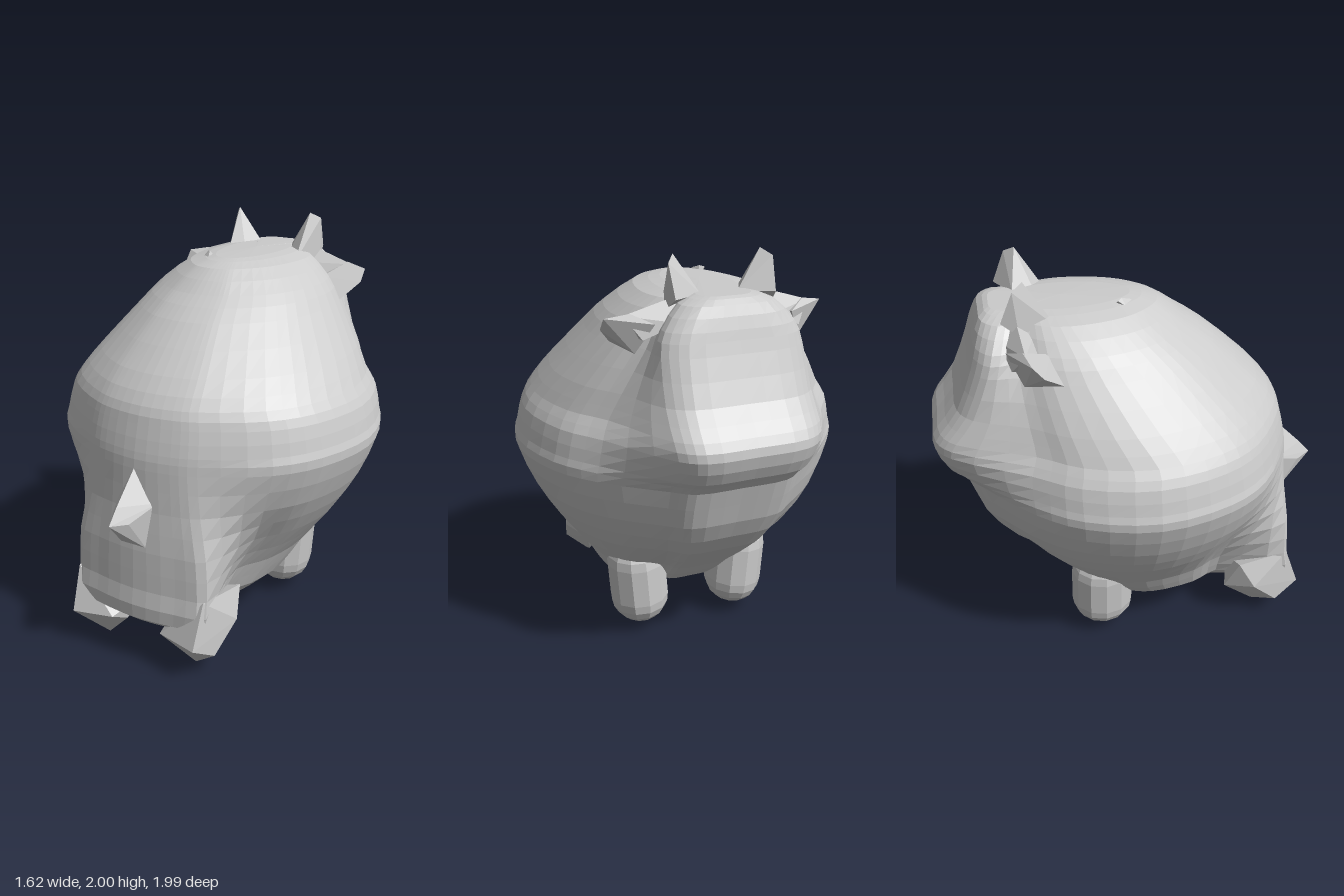
import * as THREE from 'three';
import { ConvexGeometry } from 'three/addons/geometries/ConvexGeometry.js';

const material = new THREE.MeshStandardMaterial({ color: 0xcccccc, flatShading: true });

function part(name, geometry) {
  const mesh = new THREE.Mesh(geometry, material);
  mesh.name = name;
  return mesh;
}

const hull = (name, points) =>
  part(name, new ConvexGeometry(points.map(p => new THREE.Vector3(...p))));

// The same faceted lump on both sides
function hullPair(group, name, points) {
  group.add(hull('left' + name, points));
  group.add(hull('right' + name, points.map(([x, y, z]) => [-x, y, z])));
}

// Each level: y, +z end, half width of the panel there, depth of the round body before it,
// half width of the body, z of its centre, depth behind it, half width of the muzzle, -z end
const LEVELS = [
  [1.83, 0.0, 0.06, 0.35, 0.15, -0.35, 0.25, 0.13, -0.67],
  [1.80, 0.13, 0.11, 0.45, 0.28, -0.32, 0.3, 0.22, -0.72],
  [1.70, 0.27, 0.16, 0.52, 0.41, -0.25, 0.43, 0.31, -0.76],
  [1.60, 0.41, 0.19, 0.61, 0.49, -0.2, 0.53, 0.34, -0.79],
  [1.40, 0.63, 0.25, 0.71, 0.64, -0.08, 0.67, 0.35, -0.87],
  [1.28, 0.73, 0.27, 0.73, 0.72, 0, 0.76, 0.35, -0.96],
  [1.20, 0.76, 0.29, 0.76, 0.77, 0, 0.8, 0.34, -0.99],
  [1.08, 0.79, 0.3, 0.79, 0.8, 0, 0.8, 0.32, -0.94],
  [1.00, 0.8, 0.3, 0.8, 0.81, 0, 0.79, 0.32, -0.85],
  [0.80, 0.81, 0.32, 0.76, 0.73, 0, 0.75, 0.31, -0.78],
  [0.60, 0.83, 0.36, 0.66, 0.61, 0, 0.63, 0.25, -0.65],
  [0.40, 0.84, 0.37, 0.62, 0.46, 0, 0.42, 0.19, -0.42],
  [0.25, 0.85, 0.36, 0.55, 0.37, 0.05, 0.29, 0.16, -0.25],
  [0.16, 0.72, 0.24, 0.4, 0.25, 0.15, 0.19, 0.1, -0.05],
];

const spline = (a, b, c, d, t) =>
  0.5 * (2 * b + (c - a) * t + (2 * a - 5 * b + 4 * c - d) * t * t + (3 * b - a - 3 * c + d) * t ** 3);

// Level values at a fractional row, eased through the neighbouring rows
function levelAt(u) {
  const last = LEVELS.length - 1;
  const i = Math.min(Math.floor(u), last - 1);
  const row = k => LEVELS[Math.max(0, Math.min(last, k))];
  return row(i).map((_, k) => spline(row(i - 1)[k], row(i)[k], row(i + 1)[k], row(i + 2)[k], u - i));
}

// Closed outline of one level, counterclockwise from above
function outline([, zf, wf, df, x, zm, db, wb, zb], count) {
  const drop = (zf - zm) * 0.08;
  const side = [
    [wf * 0.6, zf - drop * 0.35], [wf, zf - drop],
    [x * 0.72, zm + df * 0.69], [x * 0.9, zm + df * 0.43], [x, zm],
    [x * 0.9, zm - db * 0.43], [x * 0.72, zm - db * 0.69],
    [wb, zb + 0.08], [wb * 0.7, zb + 0.01],
  ];
  const all = [[0, zf], ...side, [0, zb], ...side.map(([a, b]) => [-a, b]).reverse()];
  const curve = new THREE.CatmullRomCurve3(all.map(([a, b]) => new THREE.Vector3(a, 0, b)), true, 'centripetal');
  return Array.from({ length: count }, (_, j) => curve.getPoint(j / count));
}

function bodyGeometry() {
  const count = 60, rows = (LEVELS.length - 1) * 2;
  const positions = [], index = [];
  for (let i = 0; i <= rows; i++) {
    const level = levelAt(i / 2);
    for (const p of outline(level, count)) positions.push(p.x, level[0], p.z);
  }
  for (let i = 0; i < rows; i++) {
    for (let j = 0; j < count; j++) {
      const a = i * count + j, b = i * count + (j + 1) % count;
      index.push(a, a + count, b, b, a + count, b + count);
    }
  }
  // Crown and belly caps
  const top = positions.length / 3, bottom = top + 1, start = rows * count;
  positions.push(0, 1.835, -0.33, 0, 0.17, 0.35);
  for (let j = 0; j < count; j++) {
    const k = (j + 1) % count;
    index.push(top, j, k, bottom, start + k, start + j);
  }
  const geometry = new THREE.BufferGeometry();
  geometry.setAttribute('position', new THREE.Float32BufferAttribute(positions, 3));
  geometry.setIndex(index);
  geometry.computeVertexNormals();
  return geometry;
}

export function createModel() {
  const group = new THREE.Group();
  group.name = 'roundAnimal';
  group.add(part('body', bodyGeometry()));

  // Pointed, angular feet at the +z end
  hullPair(group, 'PointedFoot', [
    [0.26, 0.0, 0.7], [0.13, 0.13, 0.72], [0.14, 0.19, 0.83], [0.35, 0.18, 0.87],
    [0.39, 0.1, 0.74], [0.43, 0.24, 0.6], [0.36, 0.4, 0.79], [0.2, 0.3, 0.5],
    [0.34, 0.2, 0.46], [0.1, 0.22, 0.6], [0.4, 0.38, 0.52], [0.3, 0.05, 0.63],
  ]);

  // Rounded stub legs at the -z end
  for (const side of [1, -1]) {
    const leg = part(side > 0 ? 'leftStubLeg' : 'rightStubLeg', new THREE.CapsuleGeometry(0.15, 0.2, 5, 12));
    leg.position.set(side * 0.275, 0.285, -0.2);
    leg.rotation.z = -side * 0.08;
    leg.scale.z = 1.08;
    group.add(leg);
  }

  // Beak-shaped tail point
  group.add(hull('tail', [
    [0, 0.79, 1.0], [0, 0.735, 0.93], [0.05, 0.78, 0.92], [-0.05, 0.78, 0.92], [0, 0.86, 0.94],
    [0.11, 0.84, 0.77], [-0.11, 0.84, 0.77], [0.07, 0.62, 0.82], [-0.07, 0.62, 0.82], [0, 1.02, 0.78],
  ]));

  // Ears: an upright spike, a side spike and a rim joining them
  hullPair(group, 'EarSpike', [
    [0.21, 2.0, -0.52], [0.25, 1.97, -0.57], [0.24, 1.82, -0.63], [0.09, 1.82, -0.55],
    [0.26, 1.76, -0.55], [0.2, 1.76, -0.37], [0.13, 1.8, -0.44],
  ]);
  hullPair(group, 'EarSideSpike', [
    [0.53, 1.74, -0.52], [0.53, 1.68, -0.47], [0.46, 1.6, -0.38], [0.34, 1.7, -0.42],
    [0.33, 1.72, -0.62], [0.4, 1.58, -0.55], [0.42, 1.76, -0.55],
  ]);
  hullPair(group, 'EarRim', [
    [0.22, 1.82, -0.56], [0.22, 1.75, -0.48], [0.22, 1.72, -0.64],
    [0.45, 1.75, -0.54], [0.42, 1.66, -0.47], [0.38, 1.65, -0.6],
  ]);

  // Small raised nub on the back
  group.add(hull('backNub', [
    [-0.12, 1.845, -0.06], [-0.14, 1.84, -0.08], [-0.1, 1.83, -0.02], [-0.15, 1.81, -0.04],
    [-0.08, 1.78, 0.07], [-0.09, 1.79, -0.1],
  ]));
  return group;
}
